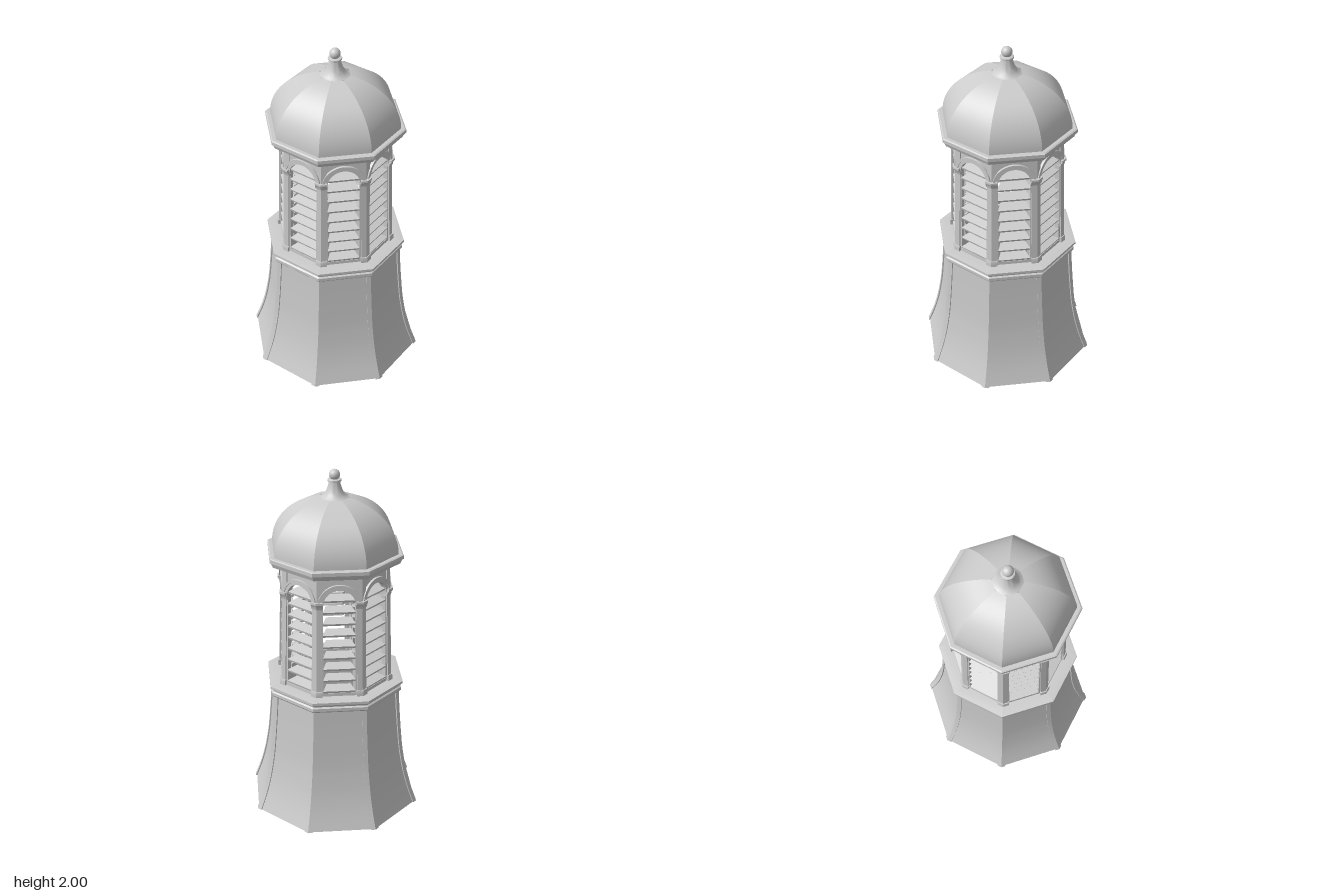
import * as THREE from 'three';
import { mergeGeometries, toCreasedNormals } from 'three/addons/utils/BufferGeometryUtils.js';

const SIDES = 8, STEP = Math.PI / 4, T = Math.tan(STEP / 2), C = Math.cos(STEP / 2), S = Math.sin(STEP / 2);
const solid = new THREE.MeshStandardMaterial({ color: 0xcccccc });
const thin = new THREE.MeshStandardMaterial({ color: 0xcccccc, side: THREE.DoubleSide });

function add(parent, name, geometry, material = solid) {
  const mesh = new THREE.Mesh(geometry, material);
  mesh.name = name;
  parent.add(mesh);
  return mesh;
}

// Surface from a grid of rows of [x, y, z]
function gridGeometry(rows, closed) {
  const pos = [], idx = [], n = rows[0].length;
  rows.forEach(r => r.forEach(p => pos.push(...p)));
  for (let i = 0; i < rows.length - 1; i++) {
    for (let j = 0; j < (closed ? n : n - 1); j++) {
      const a = i * n + j, b = i * n + (j + 1) % n, c = a + n, d = b + n;
      idx.push(a, b, d, a, d, c);
    }
  }
  if (closed) {
    const top = (rows.length - 1) * n;
    // the section is a bent bar, so cap it as two quads
    for (const [p, q, r, s] of [[0, 1, 4, 5], [1, 2, 3, 4]]) {
      idx.push(p, r, q, p, s, r);
      idx.push(top + p, top + q, top + r, top + p, top + r, top + s);
    }
  }
  const g = new THREE.BufferGeometry();
  g.setAttribute('position', new THREE.Float32BufferAttribute(pos, 3));
  g.setIndex(idx);
  return toCreasedNormals(g, 0.5);
}

// Eight-sided shell: profile of [apothem, y], bottom to top on the outside
function octagon(profile) {
  const side = gridGeometry(profile.map(([a, y]) => [[-a * T, y, a], [a * T, y, a]]), false);
  return mergeGeometries(Array.from({ length: SIDES }, (_, k) => side.clone().rotateY(k * STEP)));
}

// Bent bars following the eight corners of a profile
function cornerBars(profile, width, out, inn) {
  const rows = profile.map(([a, y]) => {
    const ro = (a + out) / C, ri = (a - inn) / C, w = width, v = width - (out + inn) * T;
    return [[-w * C, ro - w * S], [0, ro], [w * C, ro - w * S], [v * C, ri - v * S], [0, ri], [-v * C, ri - v * S]]
      .map(([x, z]) => [x, y, z]);
  });
  const bar = gridGeometry(rows, true);
  return mergeGeometries(Array.from({ length: SIDES }, (_, k) => bar.clone().rotateY((k + 0.5) * STEP)));
}

const extrude = (shape, depth) => new THREE.ExtrudeGeometry(shape, { depth, bevelEnabled: false, curveSegments: 16 });

function windowSide() {
  const side = new THREE.Group();
  side.name = 'windowSide';
  const W = 0.088, spring = 0.55, height = 0.72, bottom = 0.305, top = 0.285;

  // wall with arched opening
  const wall = new THREE.Shape();
  wall.moveTo(-bottom * T, 0);
  wall.lineTo(bottom * T, 0);
  wall.lineTo(top * T, height);
  wall.lineTo(-top * T, height);
  wall.closePath();
  const hole = new THREE.Path();
  hole.moveTo(-W, 0.025);
  hole.lineTo(-W, spring);
  hole.absarc(0, spring, W, Math.PI, 0, true);
  hole.lineTo(W, 0.025);
  hole.closePath();
  wall.holes.push(hole);
  add(side, 'archedWall', toCreasedNormals(extrude(wall, 0.025).translate(0, 0, -0.025), 0.5));

  // raised arch moulding in two steps
  for (const [inner, outer, depth] of [[0.088, 0.106, 0.008], [0.106, 0.119, 0.014]]) {
    const ring = new THREE.Shape();
    ring.absarc(0, spring, outer, 0, Math.PI, false);
    ring.absarc(0, spring, inner, Math.PI, 0, true);
    ring.closePath();
    add(side, 'archMoulding', toCreasedNormals(extrude(ring, depth), 0.5));
  }

  // sloping louvre slats, narrower towards the inside
  const plan = new THREE.Shape();
  plan.moveTo(-0.09, 0);
  plan.lineTo(0.09, 0);
  plan.lineTo(0.068, 0.06);
  plan.lineTo(-0.068, 0.06);
  plan.closePath();
  const slat = extrude(plan, 0.012).rotateX(-Math.PI / 2 + 0.3);
  for (let i = 0; i < 9; i++) {
    add(side, 'louvreSlat', slat).position.set(0, 0.025 + i * 0.0675, -0.003);
  }
  side.position.set(0, 0.785, bottom);
  side.rotation.x = -Math.atan((bottom - top) / height);
  const pivot = new THREE.Group();
  pivot.name = 'lanternSide';
  pivot.add(side);
  return pivot;
}

export function createModel() {
  const model = new THREE.Group();
  model.name = 'octagonalCupola';

  // flared hollow skirt with corner ribs
  const curve = new THREE.SplineCurve([[0.462, 0], [0.428, 0.1], [0.402, 0.2], [0.384, 0.3], [0.371, 0.4],
    [0.355, 0.6], [0.347, 0.74]].map(p => new THREE.Vector2(...p)));
  const skirt = curve.getPoints(18).map(p => [p.x, Math.max(0, p.y)]);
  add(model, 'flaredSkirt', octagon(skirt), thin);
  add(model, 'skirtRibs', cornerBars(skirt, 0.026, 0.007, 0.012));

  // moulded ledge between skirt and lantern
  add(model, 'ledge', octagon([[0.335, 0.722], [0.36, 0.722], [0.366, 0.73], [0.366, 0.748], [0.358, 0.755],
    [0.362, 0.768], [0.375, 0.774], [0.375, 0.788], [0.34, 0.792], [0.275, 0.792]]), thin);

  // louvred lantern
  for (let k = 0; k < SIDES; k++) {
    const side = windowSide();
    side.rotation.y = k * STEP;
    model.add(side);
  }
  add(model, 'cornerPosts', cornerBars([[0.305, 0.79], [0.285, 1.505]], 0.03, 0.007, 0.03));
  add(model, 'postPlinths', cornerBars([[0.305, 0.79], [0.305, 0.815], [0.302, 0.825]], 0.036, 0.014, 0.02));
  add(model, 'postCapitals', cornerBars([[0.289, 1.315], [0.293, 1.335], [0.3, 1.345], [0.3, 1.357]], 0.037, 0.011, 0.02));

  // eave moulding
  add(model, 'eave', octagon([[0.255, 1.5], [0.335, 1.5], [0.345, 1.505], [0.355, 1.53], [0.362, 1.533],
    [0.362, 1.553], [0.355, 1.557], [0.33, 1.557]]), thin);

  // eight-sided dome
  const dome = [];
  for (let i = 0; i <= 16; i++) {
    const t = i / 16 * 1.34;
    dome.push([0.336 * Math.cos(t), 1.552 + 0.303 * Math.sin(t)]);
  }
  add(model, 'dome', octagon(dome), thin);

  // turned finial
  const lathe = pts => toCreasedNormals(new THREE.LatheGeometry(pts.map(p => new THREE.Vector2(...p)), 32), 0.6);
  add(model, 'finialSpire', lathe([[0, 1.838], [0.08, 1.838], [0.08, 1.846], [0.066, 1.853], [0.053, 1.868], [0.043, 1.887],
    [0.035, 1.91], [0.03, 1.935], [0.037, 1.937], [0.038, 1.942], [0.036, 1.946], [0.02, 1.949], [0.018, 1.956], [0, 1.956]]));
  add(model, 'finialBall', new THREE.SphereGeometry(0.03, 24, 16)).position.y = 1.97;

  return model;
}
